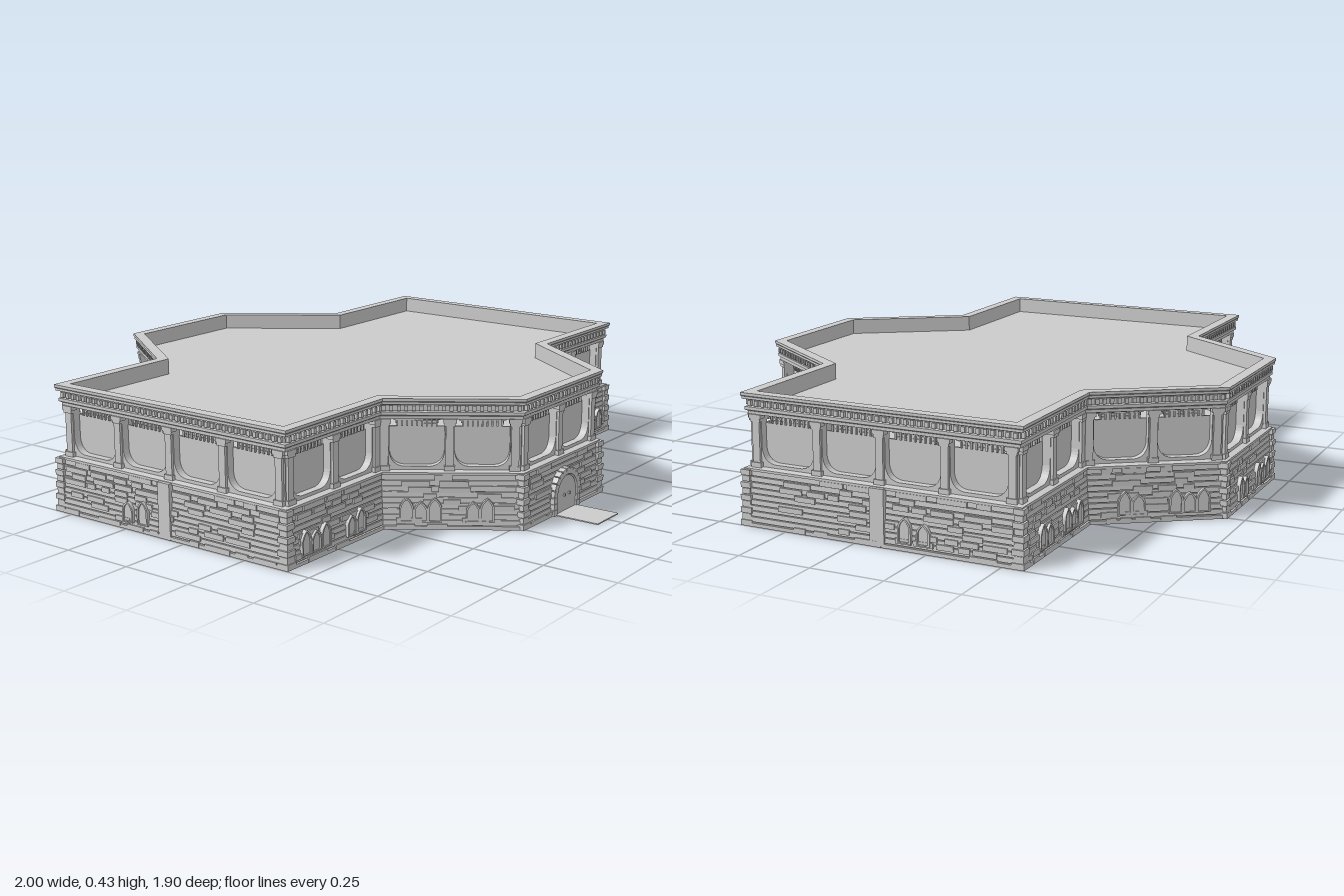
import * as THREE from 'three';
import { mergeGeometries } from 'three/addons/utils/BufferGeometryUtils.js';

const mat = new THREE.MeshStandardMaterial({ color: 0xcccccc, flatShading: true });
const matDouble = new THREE.MeshStandardMaterial({ color: 0xcccccc, flatShading: true, side: THREE.DoubleSide });

// Plan of the building as [x, z], starting with the front wall
const half = [[0.25, 0.78], [0.51, 0.41], [0.99, 0.41], [0.99, -0.565], [0.51, -0.565], [0.25, -0.935]];
const plan = [...half, ...half.map(([x, z]) => [-x, z]).reverse()];
plan.unshift(plan.pop());

let seed = 7;
const rnd = () => (seed = (seed * 16807) % 2147483647) / 2147483647;

// Plan moved outward by d with mitred corners
function offset(d) {
  const n = plan.length;
  const normal = (i) => {
    const a = plan[(i + n) % n], b = plan[(i + 1) % n];
    const l = Math.hypot(b[0] - a[0], b[1] - a[1]);
    return [-(b[1] - a[1]) / l, (b[0] - a[0]) / l];
  };
  return plan.map(([x, z], i) => {
    const p = normal(i - 1), q = normal(i), k = d / (1 + p[0] * q[0] + p[1] * q[1]);
    return [x + (p[0] + q[0]) * k, z + (p[1] + q[1]) * k];
  });
}

// Carries a profile of [outward offset, height] around the plan
function sweep(profile) {
  const rings = profile.map(([d, y]) => offset(d).map(([x, z]) => [x, y, z]));
  const pos = [], n = plan.length;
  for (let j = 0; j < rings.length - 1; j++)
    for (let i = 0; i < n; i++) {
      const k = (i + 1) % n;
      const a = rings[j][i], b = rings[j][k], c = rings[j + 1][k], e = rings[j + 1][i];
      pos.push(...a, ...b, ...c, ...a, ...c, ...e);
    }
  const g = new THREE.BufferGeometry();
  g.setAttribute('position', new THREE.Float32BufferAttribute(pos, 3));
  g.computeVertexNormals();
  return g;
}

function slab(d, y) {
  const s = new THREE.Shape(offset(d).map(([x, z]) => new THREE.Vector2(x, -z)));
  return new THREE.ShapeGeometry(s).rotateX(-Math.PI / 2).translate(0, y, 0);
}

const box = (w, h, d, x, y, z) => new THREE.BoxGeometry(w, h, d).translate(x, y, z);

function extrude(shape, depth, z) {
  return new THREE.ExtrudeGeometry(shape, { depth, bevelEnabled: false, curveSegments: 8 }).translate(0, 0, z);
}

function add(parent, name, geometry, material = mat) {
  const m = new THREE.Mesh(Array.isArray(geometry) ? mergeGeometries(geometry) : geometry, material);
  m.name = name;
  parent.add(m);
}

// Calls fn with a group at the start of each wall: local x along it, z outward
function eachWall(parent, d, name, fn) {
  const pts = offset(d);
  pts.forEach(([x, z], i) => {
    const [x2, z2] = pts[(i + 1) % pts.length];
    const g = new THREE.Group();
    g.name = name;
    g.position.set(x, 0, z);
    g.rotation.y = Math.atan2(z - z2, x2 - x);
    parent.add(g);
    fn(g, Math.hypot(x2 - x, z2 - z), i);
  });
}

// Window outline with a pointed arch
function pointed(x, y, w, h, path = new THREE.Shape()) {
  path.moveTo(x - w / 2, y);
  path.lineTo(x + w / 2, y);
  path.lineTo(x + w / 2, y + h * 0.6);
  path.quadraticCurveTo(x + w * 0.4, y + h * 0.85, x, y + h);
  path.quadraticCurveTo(x - w * 0.4, y + h * 0.85, x - w / 2, y + h * 0.6);
  path.closePath();
  return path;
}

// Upper bay opening, square above and rounded at the lower corners
function bayHole(x0, x1) {
  const p = new THREE.Path(), r = 0.045;
  p.moveTo(x0, 0.357);
  p.lineTo(x0, 0.205 + r);
  p.quadraticCurveTo(x0 + 0.005, 0.207, x0 + r, 0.202);
  p.lineTo(x1 - r, 0.202);
  p.quadraticCurveTo(x1 - 0.005, 0.207, x1, 0.205 + r);
  p.lineTo(x1, 0.357);
  p.closePath();
  return p;
}

const faceAt = (y) => 0.006 - 0.08 * y; // batter of the lower wall

function lowerWall(g, L, i) {
  // Raised stones scattered over the courses
  const stones = [];
  for (let c = 0; c < 9; c++)
    for (let x = 0.03 + rnd() * 0.06; x < L - 0.1;) {
      const w = 0.035 + rnd() * 0.07, y = c * 0.02 + 0.01;
      if (rnd() < 0.6) stones.push(box(Math.min(w, L - x - 0.03), 0.017, 0.01, x + Math.min(w, L - x - 0.03) / 2, y, faceAt(y)));
      x += w + 0.006 + rnd() * 0.04;
    }
  add(g, 'raisedStones', stones);

  // Small windows in pairs and threes
  const side = L > 0.8;
  let xs = side ? [0.585, 0.65] : [0.26, 0.36, 0.63, 0.73, 0.83].map((t) => t * L);
  if (i > 6) xs = xs.map((x) => L - x);
  if (i === 0) return door(g, L / 2);
  const frames = [], panes = [];
  xs.forEach((x, k) => {
    const h = k % 2 ? 0.062 : 0.074;
    const f = pointed(x, 0.026, 0.046, h + 0.006);
    f.holes.push(pointed(x, 0.03, 0.034, h - 0.004, new THREE.Path()));
    frames.push(extrude(f, 0.014, -0.002));
    panes.push(extrude(pointed(x, 0.028, 0.038, h), 0.01, -0.003));
  });
  add(g, 'windowFrames', frames);
  add(g, 'windowPanes', panes);
  if (side) add(g, 'buttress', box(0.05, 0.185, 0.02, i > 6 ? L - 0.49 : 0.49, 0.0925, 0));
}

// Double door under a ring of arch stones
function door(g, cx) {
  const leaf = new THREE.Shape();
  leaf.moveTo(-0.062, 0);
  leaf.lineTo(0.062, 0);
  leaf.lineTo(0.062, 0.062);
  leaf.absarc(0, 0.062, 0.062, 0, Math.PI);
  leaf.closePath();
  add(g, 'doorLeaves', extrude(leaf, 0.012, 0).translate(cx, 0, 0));
  const ring = [];
  for (let k = 0; k < 11; k++)
    ring.push(box(0.022, 0.021, 0.022, 0.075, 0, 0.006).rotateZ((k + 0.5) * Math.PI / 11).translate(cx, 0.064, 0));
  for (const s of [-1, 1])
    for (let k = 0; k < 3; k++) ring.push(box(0.022, 0.0195, 0.022, cx + s * 0.075, 0.011 + k * 0.021, 0.006));
  add(g, 'doorArch', ring);
  add(g, 'doorHandles', [-1, 1].map((s) => box(0.008, 0.008, 0.008, cx + s * 0.016, 0.06, 0.014)));
}

function upperWall(g, L) {
  const bays = L > 0.8 ? 4 : 2, end = 0.018, step = (L - 2 * end) / bays;
  const s = new THREE.Shape([[0, 0.185], [L, 0.185], [L, 0.362], [0, 0.362]].map((p) => new THREE.Vector2(...p)));
  const columns = [], louvres = [];
  for (let k = 0; k <= bays; k++) {
    const x = end + k * step;
    columns.push(box(0.026, 0.17, 0.014, x, 0.275, 0.002), box(0.036, 0.016, 0.022, x, 0.198, 0.002),
      box(0.034, 0.01, 0.02, x, 0.342, 0.002), box(0.042, 0.014, 0.024, x, 0.354, 0.002));
    if (k === bays) break;
    s.holes.push(bayHole(x + 0.016, x + step - 0.016));
    // Hanging louvre, narrowing downward
    const c = x + step / 2, w = step * 0.36;
    for (let j = 0; j < 3; j++)
      louvres.push(box(2 * (w - j * 0.007), 0.009, 0.016, c, 0.354 - j * 0.0105, -0.026 - j * 0.003));
    for (let j = -4; j <= 4; j++) louvres.push(box(0.005, 0.028, 0.006, c + j * w * 0.21, 0.344, -0.018));
  }
  add(g, 'bayWall', extrude(s, 0.03, -0.03));
  add(g, 'bayPanels', box(L - 0.02, 0.14, 0.008, L / 2, 0.258, -0.03));
  add(g, 'columns', columns);
  add(g, 'louvres', louvres);
}

export function createModel() {
  const model = new THREE.Group();
  model.name = 'building';

  // Lower storey with grooved stone courses and a ledge
  const courses = [[0.009, 0], [0.009, 0.012]];
  for (let c = 0; c < 9; c++) {
    const y = 0.012 + c * 0.0185, d = faceAt(y);
    courses.push([d - 0.004, y], [d - 0.004, y + 0.003], [d, y + 0.003], [d - 0.001, y + 0.0185]);
  }
  courses.push([-0.003, 0.179], [-0.003, 0.187], [-0.03, 0.192]);
  add(model, 'lowerWalls', sweep(courses));
  add(model, 'base', slab(0.009, 0), matDouble);
  add(model, 'upperFloor', slab(-0.03, 0.19), matDouble);
  eachWall(model, 0, 'lowerWallDetail', lowerWall);

  // Corner stones, alternating in size
  const quoins = [];
  offset(-0.012).forEach(([x, z], i) => {
    if (Math.abs(Math.abs(x) - 0.51) < 0.05) return;
    for (let c = 0; c < 9; c++) {
      const w = c % 2 ? 0.034 : 0.042;
      quoins.push(box(w - c * 0.001, 0.018, w - c * 0.001, x, 0.01 + c * 0.0205, z));
    }
  });
  add(model, 'cornerStones', quoins);

  // Upper storey
  eachWall(model, -0.025, 'upperWall', upperWall);

  // Cornice, parapet and roof
  add(model, 'cornice', sweep([[-0.07, 0.36], [-0.016, 0.36], [-0.016, 0.37], [-0.009, 0.374], [-0.009, 0.384],
    [-0.017, 0.387], [-0.017, 0.405], [-0.003, 0.41], [-0.003, 0.418], [0, 0.421], [0, 0.43], [-0.038, 0.43], [-0.038, 0.375]]));
  add(model, 'roof', slab(-0.038, 0.376), matDouble);
  add(model, 'ceiling', slab(-0.07, 0.36), matDouble);
  eachWall(model, -0.017, 'dentilRow', (g, L) => {
    const n = Math.round(L / 0.024), teeth = [];
    for (let k = 0; k < n; k++) teeth.push(box(0.012, 0.017, 0.014, (k + 0.5) * L / n, 0.397, 0.004));
    add(g, 'dentils', teeth);
  });

  // Path to the door
  add(model, 'path', box(0.14, 0.004, 0.18, 0, 0.002, 0.86));
  return model;
}
